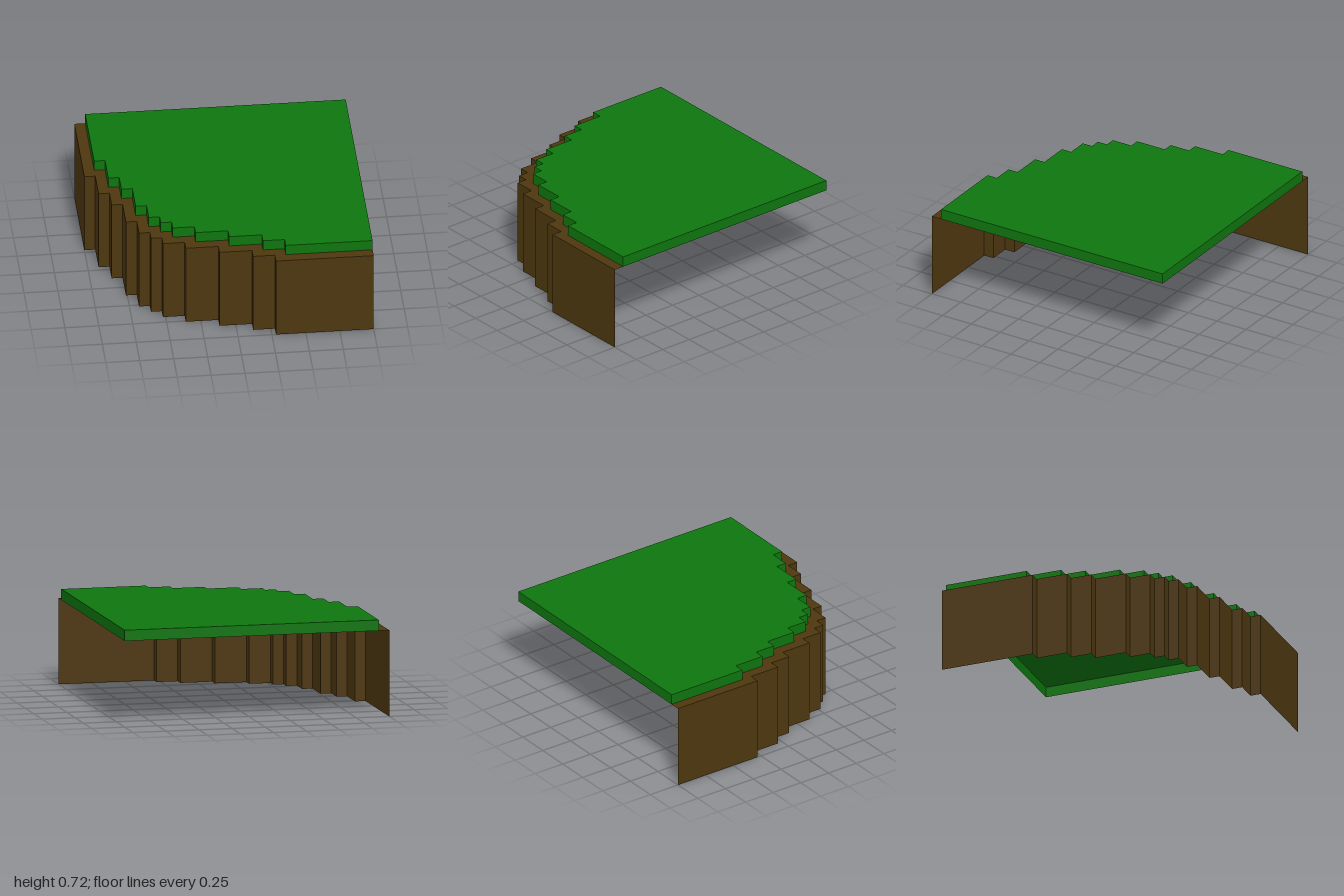
import * as THREE from 'three';

const STEP = 0.08;
const BASE_HEIGHT = 0.64;
const TOP_HEIGHT = 0.72;

// Stair-stepped rounded edge: each [x, z] is the end of a run towards the front.
const corners = [
  [-1, -0.28], [-0.92, -0.04], [-0.84, 0.12], [-0.76, 0.36], [-0.68, 0.52], [-0.6, 0.6],
  [-0.52, 0.68], [-0.36, 0.76], [-0.12, 0.84], [0.12, 0.92], [0.28, 1],
];

function steppedEdge() {
  const points = [new THREE.Vector2(-1, -1)];
  corners.forEach(([x, z], i) => {
    const nextX = i + 1 < corners.length ? corners[i + 1][0] : 1;
    points.push(new THREE.Vector2(x, z), new THREE.Vector2(nextX, z));
  });
  return points;
}

// Upright open wall along a path of (x, z) points, one flat quad per segment.
function wallGeometry(path, bottom, top) {
  const positions = [];
  for (let i = 0; i + 1 < path.length; i++) {
    const a = path[i], b = path[i + 1];
    positions.push(
      a.x, bottom, a.y, b.x, bottom, b.y, b.x, top, b.y,
      a.x, bottom, a.y, b.x, top, b.y, a.x, top, a.y,
    );
  }
  const geometry = new THREE.BufferGeometry();
  geometry.setAttribute('position', new THREE.Float32BufferAttribute(positions, 3));
  geometry.computeVertexNormals();
  return geometry;
}

// Horizontal sheet facing up, outlined by (x, z) points.
function sheetGeometry(outline, y) {
  const shape = new THREE.Shape(outline.map((p) => new THREE.Vector2(p.x, -p.y)));
  return new THREE.ShapeGeometry(shape).rotateX(-Math.PI / 2).translate(0, y, 0);
}

export function createModel() {
  const group = new THREE.Group();
  const earth = new THREE.MeshStandardMaterial({ color: 0x4d370f, side: THREE.DoubleSide, flatShading: true });
  const grass = new THREE.MeshStandardMaterial({ color: 0x0e750e, side: THREE.DoubleSide, flatShading: true });

  const add = (name, geometry, material) => {
    const mesh = new THREE.Mesh(geometry, material);
    mesh.name = name;
    group.add(mesh);
  };

  // The grass edge is the cliff edge set in by one step, cut off at the tile border.
  const outer = steppedEdge();
  const inner = outer.map((p) => new THREE.Vector2(Math.min(p.x + STEP, 1), Math.max(p.y - STEP, -1)));

  // Earth cliff, open at the back, left side and bottom
  add('cliffWall', wallGeometry(outer, 0, BASE_HEIGHT), earth);
  add('cliffLedge', sheetGeometry([...outer, ...inner.slice().reverse()], BASE_HEIGHT), earth);

  // Grass layer, hollow underneath, with a rim all the way round
  const grassOutline = [...inner, new THREE.Vector2(1, -1)];
  add('grassTop', sheetGeometry(grassOutline, TOP_HEIGHT), grass);
  add('grassRim', wallGeometry([...grassOutline, inner[0]], BASE_HEIGHT, TOP_HEIGHT), grass);

  return group;
}
